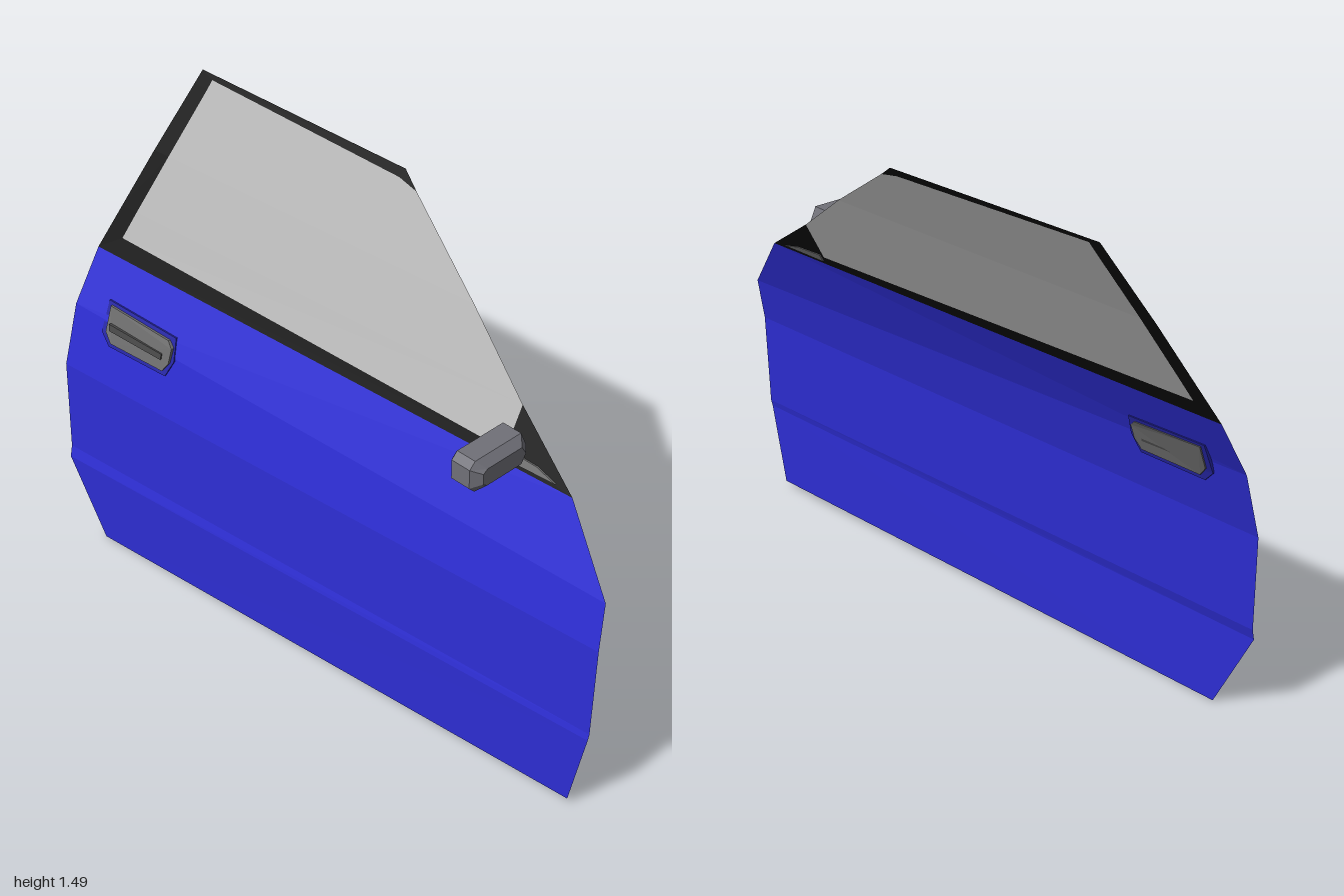
import * as THREE from 'three';

// Outward lean of the door by height: [y, x at the rear edge]
const PROFILE = [
  [0, -0.263], [0.25, -0.266], [0.285, -0.256], [0.58, -0.242], [0.78, -0.192],
  [0.95, -0.107], [1.25, 0.05], [1.5, 0.19],
];

// x of the door skin at a given z and y
function skinX(z, y) {
  let i = 0;
  while (i < PROFILE.length - 2 && y > PROFILE[i + 1][0]) i++;
  const [y0, x0] = PROFILE[i], [y1, x1] = PROFILE[i + 1];
  return x0 + (x1 - x0) * (y - y0) / (y1 - y0) + 0.085 * (z + 1);
}

// Open sheet on the skin, from rows of [z, y] points
function sheet(rows) {
  const pos = [], index = [], n = rows[0].length;
  for (const row of rows) for (const [z, y] of row) pos.push(skinX(z, y), y, z);
  for (let r = 0; r < rows.length - 1; r++) {
    for (let c = 0; c < n - 1; c++) {
      const a = r * n + c, b = a + 1, d = a + n, e = d + 1;
      index.push(a, d, b, b, d, e);
    }
  }
  const g = new THREE.BufferGeometry();
  g.setAttribute('position', new THREE.Float32BufferAttribute(pos, 3));
  g.setIndex(index);
  g.computeVertexNormals();
  return g;
}

function outline(points) {
  return new THREE.Shape(points.map(([a, b]) => new THREE.Vector2(a, b)));
}

// Plate of some thickness, centred on the skin, from a [z, y] outline
function plate(points, thickness) {
  const g = new THREE.ExtrudeGeometry(outline(points), { depth: thickness, bevelEnabled: false });
  const p = g.attributes.position;
  for (let i = 0; i < p.count; i++) {
    const z = p.getX(i), y = p.getY(i), d = p.getZ(i) - thickness / 2;
    p.setXYZ(i, skinX(z, y) - d, y, z);
  }
  g.computeVertexNormals();
  return g;
}

export function createModel() {
  const group = new THREE.Group();
  const material = (name, color) => {
    const m = new THREE.MeshStandardMaterial({ color, side: THREE.DoubleSide, flatShading: true });
    m.name = name;
    return m;
  };
  const blue = material('blue paint', 0x2d2dd2);
  const shade = material('recess blue', 0x2626a4);
  const glass = material('window grey', 0xb4b4b4);
  const black = material('trim black', 0x0a0a0a);
  const grey = material('mirror grey', 0x707078);
  const handleGrey = material('handle grey', 0x6c6c6c);
  const dark = material('slot grey', 0x484848);
  const add = (name, geometry, mat) => {
    const mesh = new THREE.Mesh(geometry, mat);
    mesh.name = name;
    group.add(mesh);
    return mesh;
  };

  // Painted door panel, bottom to belt line
  add('doorPanel', sheet([
    [[0.945, 0.02], [-0.85, 0]],
    [[0.998, 0.27], [-0.982, 0.25]],
    [[0.999, 0.29], [-0.985, 0.285]],
    [[1, 0.58], [-1, 0.58]],
    [[0.985, 0.72], [-0.995, 0.78]],
    [[0.79, 0.925], [-0.98, 0.95]],
  ]), blue);

  // Window glass: front and rear edges share heights with the rear trim
  const front = [[0.55, 0.955], [0.55, 1.075], [0.3, 1.245], [0, 1.432], [-0.07, 1.447]];
  const rear = [[-0.905, 1.0], [-0.885, 1.08], [-0.84, 1.25], [-0.79, 1.45], [-0.785, 1.475]];
  const outer = [[-0.98, 0.95], [-0.944, 1.08], [-0.897, 1.25], [-0.841, 1.45], [-0.83, 1.49]];
  add('windowGlass', sheet(front.map((f, i) => [f, rear[i]])), glass);

  // Black window surround
  add('rearTrim', sheet(rear.map((r, i) => [r, outer[i]])), black);
  add('beltTrim', sheet([
    [[0.79, 0.925], [0.55, 0.928], [-0.98, 0.95]],
    [[0.79, 0.925], front[0], rear[0]],
  ]), black);
  add('topTrim', sheet([
    [front[3], front[4], rear[4]],
    [front[3], [-0.06, 1.472], outer[4]],
  ]), black);
  add('frontCorner', sheet([
    [[0.79, 0.925], front[0]],
    [[0.79, 0.925], front[1]],
  ]), black);
  add('mirrorMount', plate([[0.56, 0.938], [0.56, 0.962], [0.66, 0.956], [0.73, 0.938]], 0.009), handleGrey);

  // Door handle set into the panel, showing on both sides
  add('handleRecess', plate([
    [-0.585, 0.76], [-0.61, 0.705], [-0.84, 0.705], [-0.875, 0.74], [-0.875, 0.835], [-0.6, 0.825],
  ], 0.009), shade);
  add('handleBody', plate([
    [-0.6, 0.75], [-0.62, 0.72], [-0.83, 0.72], [-0.855, 0.75], [-0.86, 0.825], [-0.62, 0.813], [-0.6, 0.795],
  ], 0.02), handleGrey);
  add('handleSlot', plate([
    [-0.63, 0.752], [-0.84, 0.758], [-0.845, 0.778], [-0.63, 0.77],
  ], 0.024), dark);

  // Wing mirror: flat back, front half tapering to a smaller face
  const body = new THREE.ExtrudeGeometry(outline([
    [-0.205, 1.0], [-0.185, 0.98], [-0.01, 0.98], [0.012, 1.03], [-0.01, 1.08], [-0.185, 1.08], [-0.205, 1.06],
  ]), { depth: 0.09, steps: 2, bevelEnabled: false });
  const p = body.attributes.position;
  for (let i = 0; i < p.count; i++) {
    const z = p.getZ(i);
    if (z > 0.08) {
      p.setX(i, -0.097 + (p.getX(i) + 0.097) * 0.75);
      p.setY(i, 1.03 + (p.getY(i) - 1.03) * 0.55);
    } else if (z > 0.02) p.setZ(i, 0.065);
  }
  body.computeVertexNormals();
  add('mirrorHousing', body, grey).position.z = 0.572;
  add('mirrorFace', new THREE.ShapeGeometry(outline([
    [-0.2, 1.002], [-0.183, 0.985], [-0.013, 0.985], [0.006, 1.03], [-0.013, 1.075], [-0.183, 1.075], [-0.2, 1.058],
  ])), blue).position.z = 0.568;

  return group;
}
